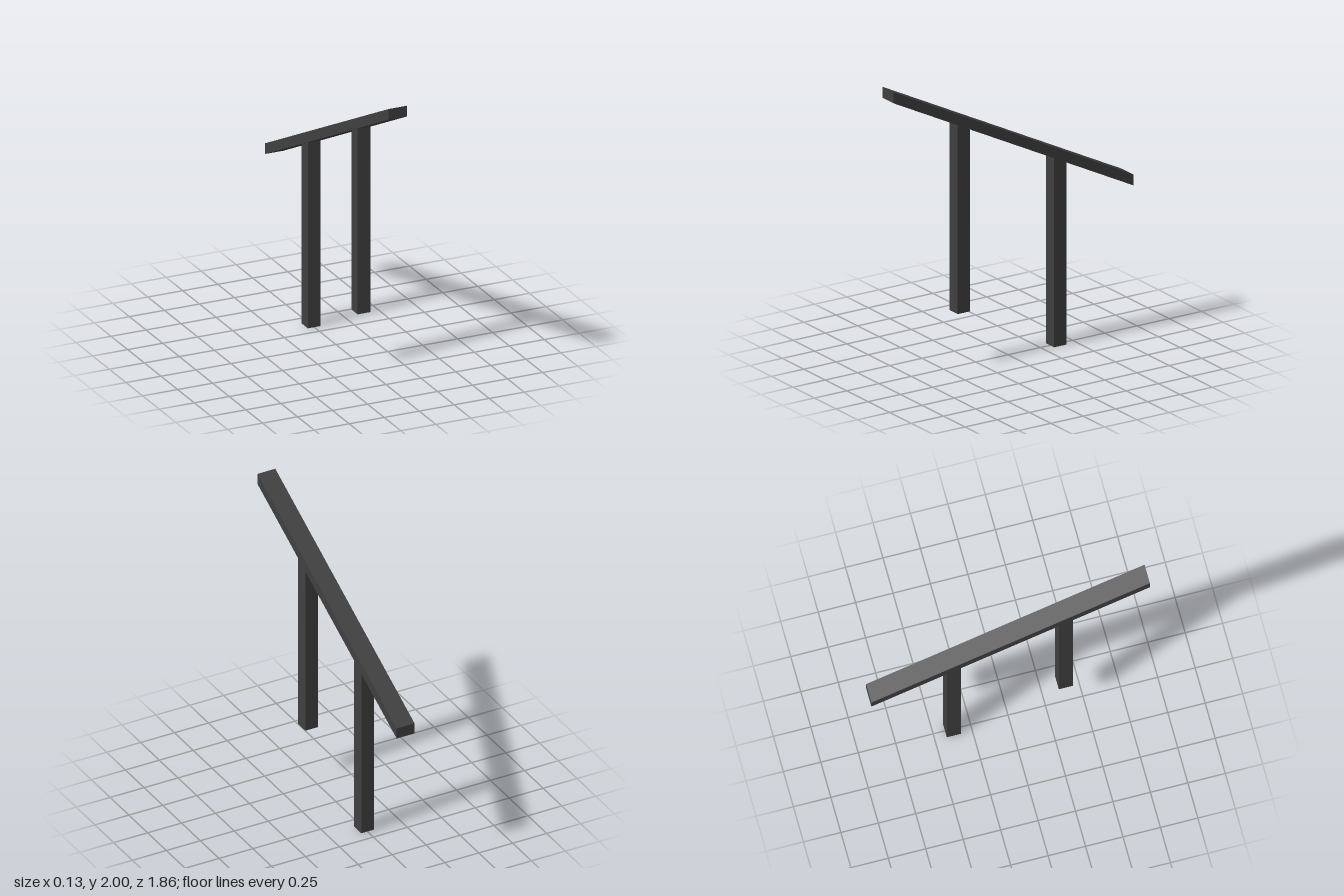
import * as THREE from 'three';

const SLOPE = 0.5;                       // rise of the rail per unit of z
const underside = (z) => 1.46 + SLOPE * z;
const material = new THREE.MeshStandardMaterial({ color: 0x404040, flatShading: true });

// Box whose corner heights follow the functions bottom(z) and top(z)
function slopedBox(name, width, depth, z, bottom, top) {
  const geometry = new THREE.BoxGeometry(width, 1, depth).translate(0, 0, z);
  const p = geometry.attributes.position;
  for (let i = 0; i < p.count; i++) {
    p.setY(i, (p.getY(i) > 0 ? top : bottom)(p.getZ(i)));
  }
  geometry.computeVertexNormals();
  const mesh = new THREE.Mesh(geometry, material);
  mesh.name = name;
  return mesh;
}

export function createModel() {
  const group = new THREE.Group();
  group.name = 'slopedHandrail';

  // Sloping rail with vertical end cuts
  group.add(slopedBox('rail', 0.132, 1.86, 0, underside, (z) => underside(z) + 0.075));

  // Two posts standing at different step heights, mitred to the rail
  for (const [name, z, foot] of [['upperPost', 0.374, 0.375], ['lowerPost', -0.374, 0]]) {
    group.add(slopedBox(name, 0.092, 0.094, z, () => foot, underside));
  }
  return group;
}
